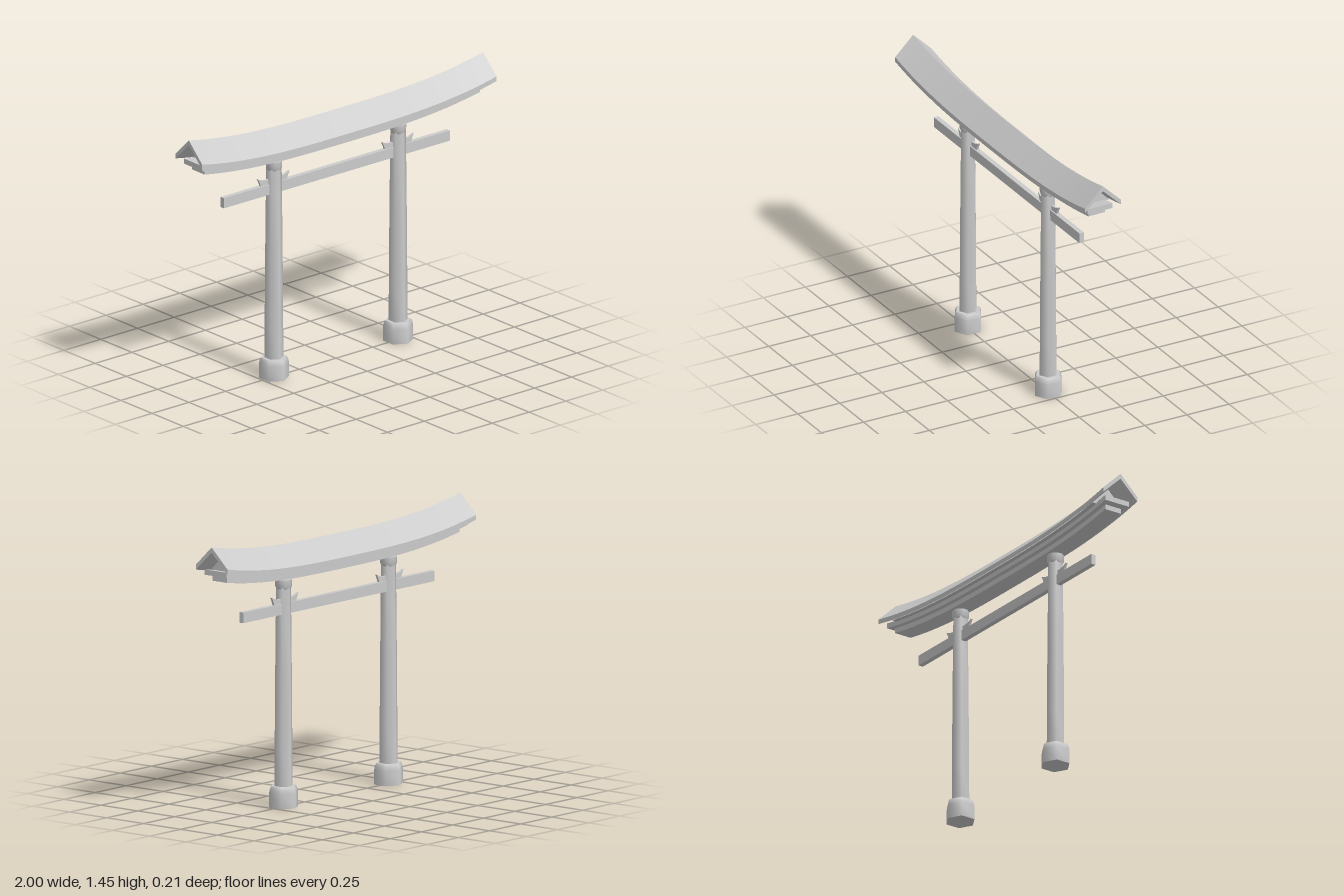
import * as THREE from 'three';
import { toCreasedNormals } from 'three/addons/utils/BufferGeometryUtils.js';

const material = new THREE.MeshStandardMaterial({ color: 0xcccccc });

function addMesh(parent, name, geometry) {
  const mesh = new THREE.Mesh(geometry, material);
  mesh.name = name;
  parent.add(mesh);
  return mesh;
}

function shapeOf(points) {
  return new THREE.Shape(points.map(([x, y]) => new THREE.Vector2(x, y)));
}

// Upward sweep of the roof towards both ends
const lift = (x) => 0.07 * Math.abs(x) ** 3;

// Runs a (z, y) section along x and bends it upward at the ends
function curvedBeam(section, halfLength) {
  const geometry = new THREE.ExtrudeGeometry(shapeOf(section), {
    depth: 2 * halfLength, steps: 24, bevelEnabled: false,
  });
  geometry.translate(0, 0, -halfLength);
  geometry.rotateY(Math.PI / 2);
  const pos = geometry.attributes.position;
  for (let i = 0; i < pos.count; i++) pos.setY(i, pos.getY(i) + lift(pos.getX(i)));
  return toCreasedNormals(geometry, 0.4);
}

const rectangle = (halfWidth, bottom, top) => [
  [-halfWidth, bottom], [halfWidth, bottom], [halfWidth, top], [-halfWidth, top],
];

// Six-sided turned part, with a corner facing +z
function turned(profile, sides = 6) {
  const points = profile.map(([r, y]) => new THREE.Vector2(r, y));
  return toCreasedNormals(new THREE.LatheGeometry(points, sides), 1.1);
}

export function createModel() {
  const model = new THREE.Group();
  model.name = 'gate';

  // Roof: hollow gable with a recessed core, over two stepped lintels
  const roof = new THREE.Group();
  roof.name = 'roof';
  model.add(roof);
  addMesh(roof, 'roofShell', curvedBeam([
    [-0.107, 1.25], [0, 1.352], [0.107, 1.25],
    [0.107, 1.276], [0, 1.38], [-0.107, 1.276],
  ], 1));
  addMesh(roof, 'roofCore', curvedBeam([[-0.1, 1.252], [0.1, 1.252], [0, 1.354]], 0.89));
  addMesh(roof, 'upperLintel', curvedBeam(rectangle(0.075, 1.229, 1.257), 0.97));
  addMesh(roof, 'lowerLintel', curvedBeam(rectangle(0.05, 1.202, 1.23), 0.935));

  // Straight tie beam through both pillars
  const tie = addMesh(model, 'tieBeam', new THREE.BoxGeometry(1.535, 0.056, 0.027));
  tie.position.set(0, 1.047, -0.006);

  for (const side of [-1, 1]) {
    const post = new THREE.Group();
    post.name = side > 0 ? 'leftPillar' : 'rightPillar';
    post.position.x = side * 0.422;
    model.add(post);

    addMesh(post, 'shaft', turned([
      [0.05, 0.08], [0.049, 0.3], [0.046, 0.7], [0.041, 1.16],
    ]));
    addMesh(post, 'base', turned([
      [0, 0], [0.079, 0], [0.079, 0.08], [0.075, 0.1], [0.068, 0.112], [0, 0.112],
    ]));
    addMesh(post, 'capital', turned([
      [0, 1.15], [0.037, 1.15], [0.043, 1.162], [0.044, 1.2], [0, 1.2],
    ], 10));

    // Flared wedge resting on the tie beam
    const wedge = new THREE.ExtrudeGeometry(shapeOf([
      [-0.088, 1.073], [0.088, 1.073], [0.096, 1.095], [0.107, 1.117],
      [0.08, 1.105], [0.055, 1.101], [-0.055, 1.101], [-0.08, 1.105],
      [-0.107, 1.117], [-0.096, 1.095],
    ]), { depth: 0.012, bevelEnabled: false });
    wedge.translate(0, 0, -0.012);
    addMesh(post, 'wedge', wedge);
  }
  return model;
}
